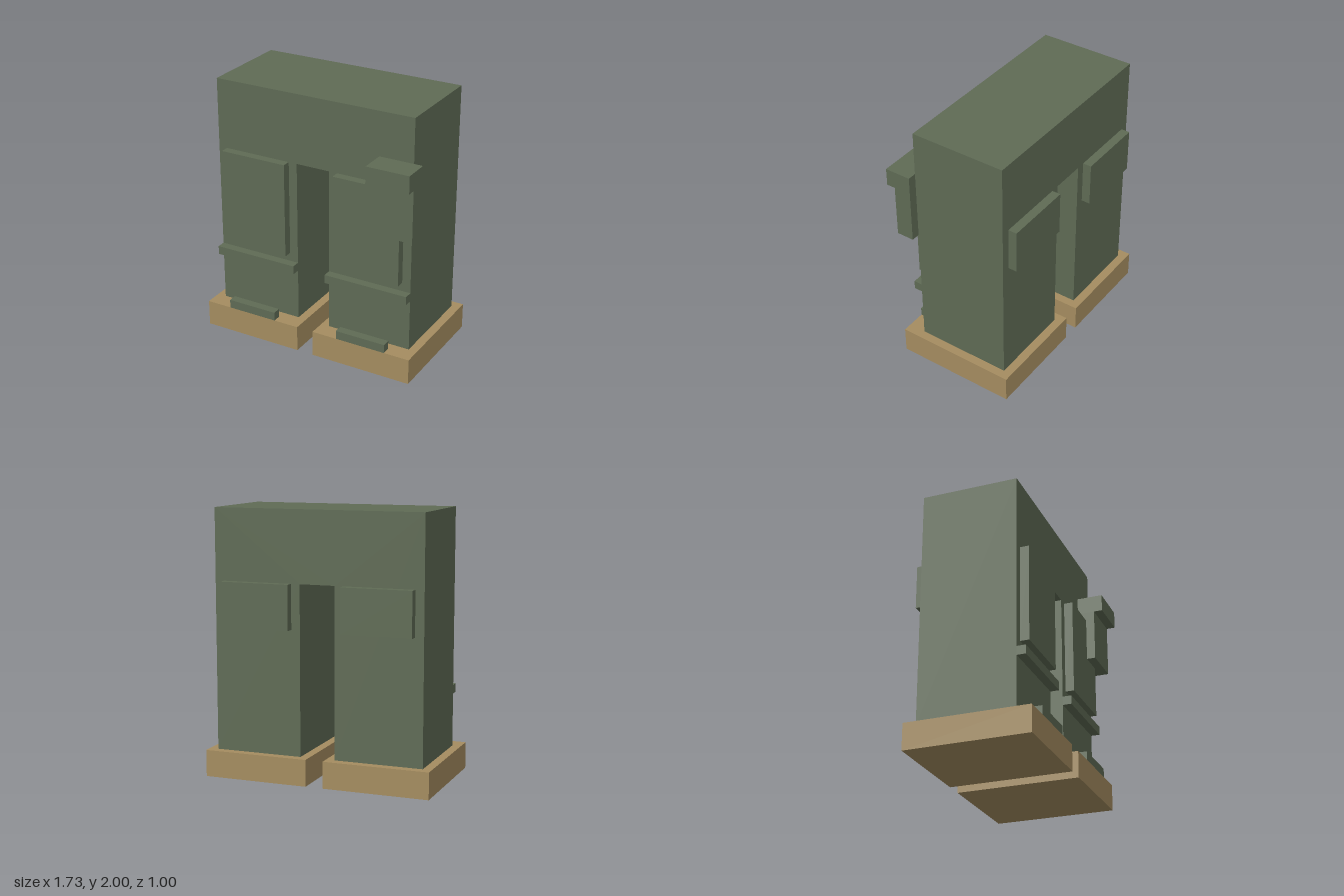
import * as THREE from 'three';

const U = 1 / 15; // modelling grid unit

export function createModel() {
  const root = new THREE.Group();
  root.name = 'trousers';
  const cloth = new THREE.MeshStandardMaterial({ color: 0x5f6b55 });
  cloth.name = 'olive cloth';
  const leather = new THREE.MeshStandardMaterial({ color: 0xa58d60 });
  leather.name = 'tan leather';

  // Box given by its lower and upper corners in grid units
  function box(name, material, [x0, y0, z0], [x1, y1, z1]) {
    const geometry = new THREE.BoxGeometry((x1 - x0) * U, (y1 - y0) * U, (z1 - z0) * U);
    const mesh = new THREE.Mesh(geometry, material);
    mesh.position.set((x0 + x1) / 2 * U, (y0 + y1) / 2 * U, (z0 + z1) / 2 * U);
    mesh.name = name;
    root.add(mesh);
  }

  // Waist and both legs as one arch
  const outline = [[-12, 3], [-2, 3], [-2, 22], [2, 22], [2, 3], [12, 3], [12, 30], [-12, 30]];
  const arch = new THREE.Shape(outline.map(([x, y]) => new THREE.Vector2(x * U, y * U)));
  const body = new THREE.Mesh(
    new THREE.ExtrudeGeometry(arch, { depth: 11 * U, bevelEnabled: false }), cloth);
  body.position.z = -6.5 * U;
  body.name = 'waistAndLegs';
  root.add(body);

  // Parts repeated on each leg
  for (const [side, s] of [['left', 1], ['right', -1]]) {
    const part = (name, material, xIn, xOut, y0, y1, z0, z1) =>
      box(side + name, material,
        [Math.min(s * xIn, s * xOut), y0, z0], [Math.max(s * xIn, s * xOut), y1, z1]);
    part('Sole', leather, 1, 13, 0, 3, -7.5, 6.5);
    part('ToeStrip', cloth, 4, 10, 3, 4, 5.5, 6.5);
    part('KneeBand', cloth, 2, 12, 9, 10, 4.5, 5.5);
    part('ThighPanel', cloth, 3, 11, 11, 22, 4.5, 5.5);
    part('BackPocket', cloth, 3, 11, 17, 22, -7.5, -6.5);
  }

  // Pouch on the left hip with its overhanging flap
  box('hipPouch', cloth, [8, 17, 4.5], [13, 23, 6.5]);
  box('hipPouchFlap', cloth, [8, 23, 4.5], [13, 25, 7.5]);

  return root;
}
